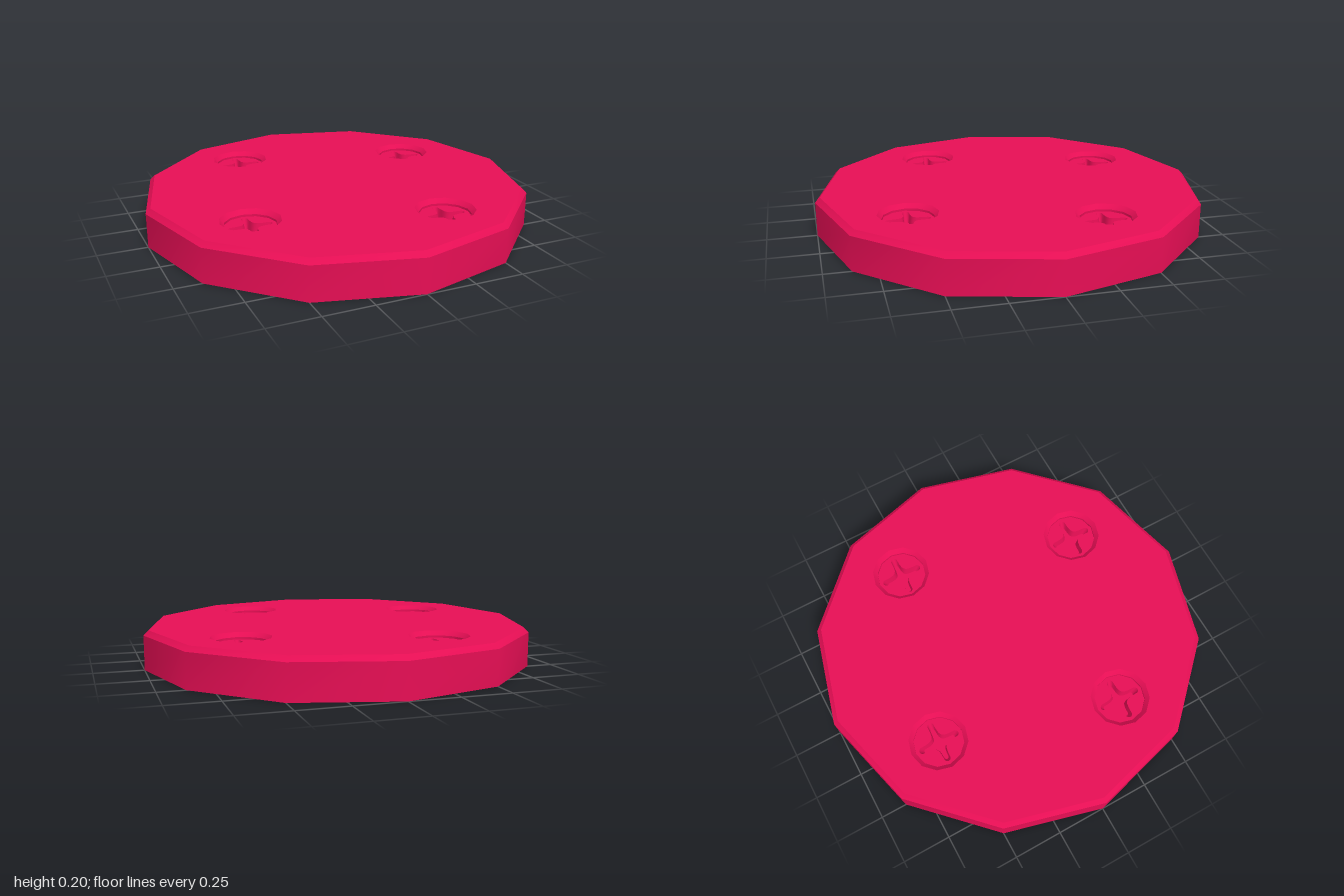
import * as THREE from 'three';
import { toCreasedNormals } from 'three/addons/utils/BufferGeometryUtils.js';

const material = new THREE.MeshStandardMaterial({ color: 0xe60e54 });

// Plan outlines use (x, -z), counter-clockwise seen from above.
function polygon(radius, cx = 0, cy = 0, sides = 12) {
  return Array.from({ length: sides }, (_, i) => {
    const a = (i / sides) * Math.PI * 2;
    return new THREE.Vector2(cx + radius * Math.cos(a), cy + radius * Math.sin(a));
  });
}

// Cross-shaped driver slot with rounded tips and curved inner corners.
function crossOutline(reach, half, waist) {
  const shape = new THREE.Shape();
  const turn = (x, y, k) => [[x, y], [-y, x], [-x, -y], [y, -x]][k % 4];
  shape.moveTo(reach, -half);
  for (let k = 0; k < 4; k++) {
    shape.bezierCurveTo(...turn(reach + half, -half * 0.5, k), ...turn(reach + half, half * 0.5, k), ...turn(reach, half, k));
    shape.bezierCurveTo(...turn(waist, waist * 0.75, k), ...turn(waist * 0.75, waist, k), ...turn(half, reach, k));
  }
  const points = shape.getPoints(6);
  if (points[0].distanceTo(points[points.length - 1]) < 1e-5) points.pop();
  return points;
}

// Band through stacked outlines; rising order faces out, falling order faces in.
function loft(rings) {
  const n = rings[0][0].length;
  const positions = rings.flatMap(([points, y]) => points.flatMap((p) => [p.x, y, -p.y]));
  const index = [];
  for (let r = 0; r < rings.length - 1; r++) {
    for (let i = 0; i < n; i++) {
      const a = r * n + i, b = r * n + ((i + 1) % n);
      index.push(a, b, b + n, a, b + n, a + n);
    }
  }
  const geometry = new THREE.BufferGeometry();
  geometry.setAttribute('position', new THREE.Float32BufferAttribute(positions, 3));
  geometry.setIndex(index);
  return toCreasedNormals(geometry, 0.6);
}

// Flat face at height y, with optional holes.
function face(outline, y, holes = [], down = false) {
  const shape = new THREE.Shape(outline);
  shape.holes = holes.map((h) => new THREE.Path(h));
  const geometry = new THREE.ShapeGeometry(shape);
  geometry.rotateX(down ? Math.PI / 2 : -Math.PI / 2);
  return geometry.translate(0, y, 0);
}

function add(parent, name, geometry) {
  const mesh = new THREE.Mesh(geometry, material);
  mesh.name = name;
  parent.add(mesh);
}

function createScrew() {
  const screw = new THREE.Group();
  const wall = polygon(0.128);
  const slotTop = crossOutline(0.097, 0.016, 0.022);
  const slotFloor = crossOutline(0.078, 0.011, 0.017);
  add(screw, 'countersink', loft([[polygon(0.15), 0.2], [wall, 0.178], [wall, 0.167]]));
  add(screw, 'screwHead', face(wall, 0.167, [slotTop]));
  add(screw, 'slotWalls', loft([[slotTop, 0.167], [slotFloor, 0.12]]));
  add(screw, 'slotFloor', face(slotFloor, 0.12));
  return screw;
}

export function createModel() {
  const model = new THREE.Group();
  model.name = 'screwedDisc';

  // Four screws spaced evenly on a circle
  const centres = [0, 1, 2, 3].map((k) => {
    const a = Math.PI / 6 + (k * Math.PI) / 2;
    return new THREE.Vector2(0.667 * Math.cos(a), 0.667 * Math.sin(a));
  });

  // Twelve-sided disc with a bevelled top edge
  const disc = new THREE.Group();
  disc.name = 'disc';
  const outer = polygon(1), top = polygon(0.975);
  add(disc, 'discRim', loft([[outer, 0], [outer, 0.175], [top, 0.2]]));
  add(disc, 'discTop', face(top, 0.2, centres.map((c) => polygon(0.15, c.x, c.y))));
  add(disc, 'discBottom', face(outer.map((p) => new THREE.Vector2(p.x, -p.y)).reverse(), 0, [], true));
  model.add(disc);

  centres.forEach((c, i) => {
    const screw = createScrew();
    screw.name = `screw${i + 1}`;
    screw.position.set(c.x, 0, -c.y);
    model.add(screw);
  });
  return model;
}
